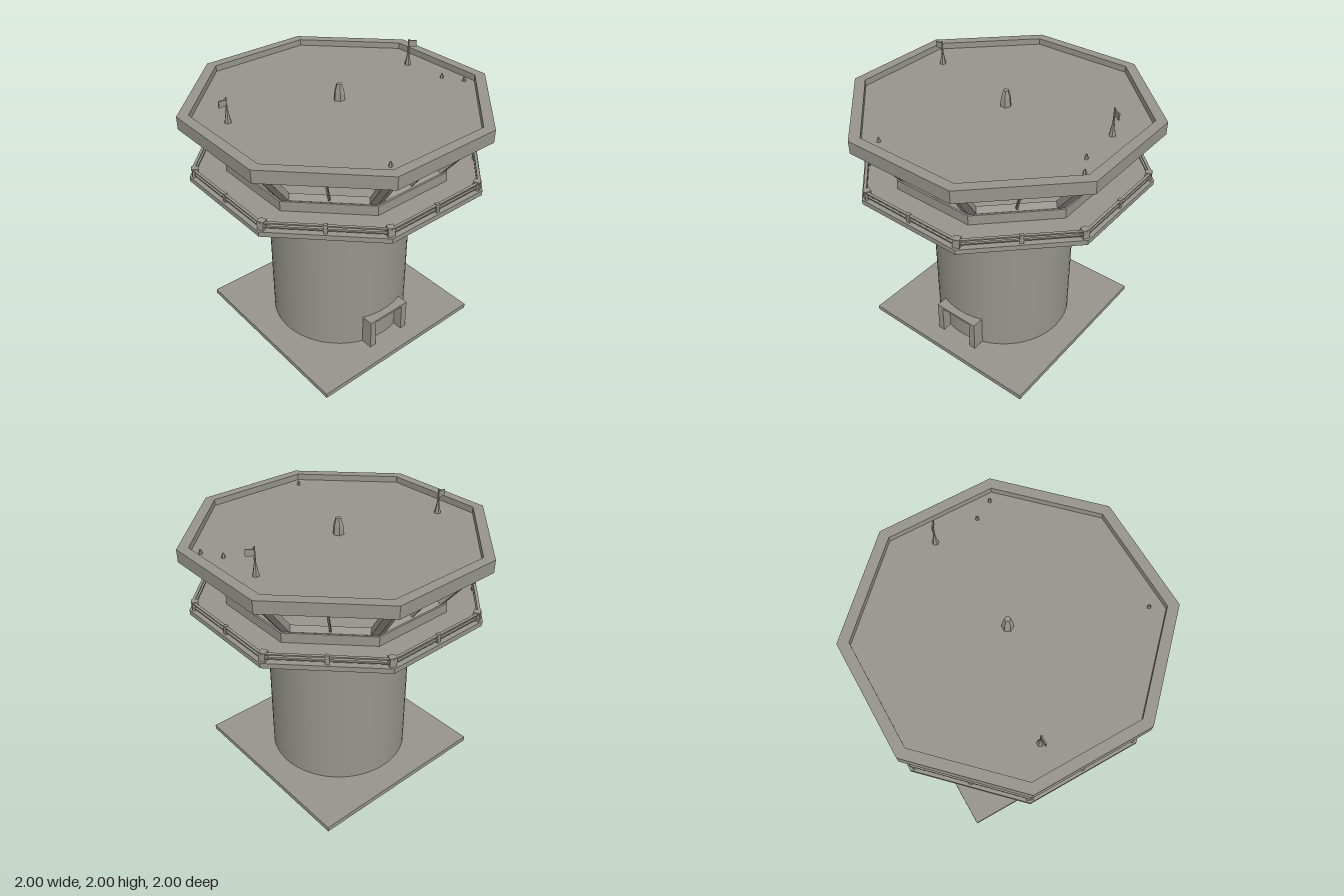
import * as THREE from 'three';
import { toCreasedNormals } from 'three/addons/utils/BufferGeometryUtils.js';

const concrete = new THREE.MeshStandardMaterial({ color: 0x96948c });
const K = Math.cos(Math.PI / 8);
const HALF = Math.tan(Math.PI / 8); // half side of an octagon with apothem 1

function add(parent, name, geometry, x = 0, y = 0, z = 0) {
  const mesh = new THREE.Mesh(toCreasedNormals(geometry, 0.35), concrete);
  mesh.name = name;
  mesh.position.set(x, y, z);
  parent.add(mesh);
  return mesh;
}

const box = (w, h, d) => new THREE.BoxGeometry(w, h, d);

// Octagonal solid from a profile of [apothem, y], outside going up
function octagon(profile) {
  const pts = profile.map(([a, y]) => new THREE.Vector2(a / K, y));
  return new THREE.LatheGeometry(pts, 8, Math.PI / 8);
}

// Octagonal ring of rectangular section
const ring = (inner, outer, y0, y1) =>
  octagon([[inner, y0], [outer, y0], [outer, y1], [inner, y1], [inner, y0]]);

function polygon(points, Type = THREE.Shape) {
  return new Type(points.map(([x, y]) => new THREE.Vector2(x, y)));
}

// Outward sloping wall panel with one opening
function windowFrame(r0, r1, length, depth) {
  const b = r0 * HALF, t = r1 * HALF, side = 0.05;
  const at = (v) => b + (t - b) * v / length - side;
  const shape = polygon([[-b, 0], [b, 0], [t, length], [-t, length]]);
  const lo = 0.015, hi = length - 0.015;
  shape.holes.push(polygon([[-at(lo), lo], [-at(hi), hi], [at(hi), hi], [at(lo), lo]], THREE.Path));
  const g = new THREE.ExtrudeGeometry(shape, { depth, bevelEnabled: false });
  return g.translate(0, 0, -depth);
}

export function createModel() {
  const model = new THREE.Group();
  model.name = 'controlTower';

  // Ground slab and round shaft
  add(model, 'baseSlab', box(1.43, 0.036, 1.43), 0, 0.018, 0);
  add(model, 'shaft', new THREE.CylinderGeometry(0.52, 0.52, 1.34, 64), 0, 0.7, 0);

  // Door surround on the left side
  const door = new THREE.Group();
  door.name = 'doorway';
  model.add(door);
  for (const s of [-1, 1]) add(door, 'doorJamb', box(0.095, 0.24, 0.05), 0.53, 0.155, s * 0.155);
  add(door, 'doorLintel', box(0.095, 0.018, 0.36), 0.53, 0.266, 0);

  // Gallery deck and cabin sill
  add(model, 'deck', octagon([[0, 1.36], [0.97, 1.36], [0.97, 1.395], [0, 1.395]]));
  add(model, 'sill', ring(0.66, 0.74, 1.39, 1.465));

  // Gallery railing
  add(model, 'lowerRail', ring(0.935, 0.95, 1.412, 1.42));
  add(model, 'upperRail', ring(0.935, 0.955, 1.444, 1.453));
  for (let i = 0; i < 16; i++) {
    const corner = i % 2 === 1;
    const arm = new THREE.Group();
    arm.name = 'railPost';
    arm.rotation.y = i * Math.PI / 8;
    model.add(arm);
    const size = corner ? 0.045 : 0.025;
    add(arm, 'post', box(size, 0.065, size), 0, 1.425, corner ? 0.945 / K - 0.015 : 0.942);
  }

  // Sloping window walls with a thin centre mullion
  const r0 = 0.72, r1 = 0.935, y0 = 1.455, y1 = 1.745;
  const length = Math.hypot(r1 - r0, y1 - y0);
  for (let i = 0; i < 8; i++) {
    const turn = new THREE.Group();
    turn.name = 'windowWall';
    turn.rotation.y = i * Math.PI / 4;
    model.add(turn);
    const tilt = new THREE.Group();
    tilt.name = 'windowSlope';
    tilt.position.set(0, y0, r0);
    tilt.rotation.x = Math.atan2(r1 - r0, y1 - y0);
    turn.add(tilt);
    add(tilt, 'windowFrame', windowFrame(r0, r1, length, 0.05));
    add(tilt, 'mullion', box(0.013, length, 0.02), 0, length / 2, -0.02);
  }

  // Roof with header and raised rim
  add(model, 'windowHeader', ring(0.86, 0.945, 1.735, 1.765));
  add(model, 'roof', octagon([
    [0, 1.76], [1, 1.76], [1, 1.85], [0.928, 1.85], [0.928, 1.805], [0, 1.805],
  ]));

  // Roof beacon
  add(model, 'beaconFoot', new THREE.CylinderGeometry(0.035, 0.04, 0.06, 6), -0.01, 1.835, -0.01);
  add(model, 'beaconCap', new THREE.CylinderGeometry(0.02, 0.036, 0.055, 6), -0.01, 1.8925, -0.01);

  // Two wind vanes, [x, z, top, direction of the vane along z]
  for (const [x, z, top, dir] of [[-0.215, 0.745, 1.98, 1], [-0.125, -0.77, 2.0, -1]]) {
    const vane = new THREE.Group();
    vane.name = 'windVane';
    vane.position.set(x, 0, z);
    model.add(vane);
    const h = top - 1.8;
    add(vane, 'mast', new THREE.CylinderGeometry(0.006, 0.009, h, 6), 0, 1.8 + h / 2, 0);
    add(vane, 'mastFoot', new THREE.CylinderGeometry(0.008, 0.025, 0.09, 6), 0, 1.845, 0);
    const flag = add(vane, 'flag', box(0.009, 0.045, 0.055), dir < 0 ? 0.012 : 0, top - 0.035, dir * 0.028);
    flag.rotation.y = dir < 0 ? -0.6 : 0;
  }

  // Small roof vents
  for (const [x, z] of [[0.2, -0.79], [0.34, -0.87], [0.84, 0.32]]) {
    add(model, 'roofVent', new THREE.CylinderGeometry(0.006, 0.015, 0.035, 5), x, 1.82, z);
  }
  return model;
}
